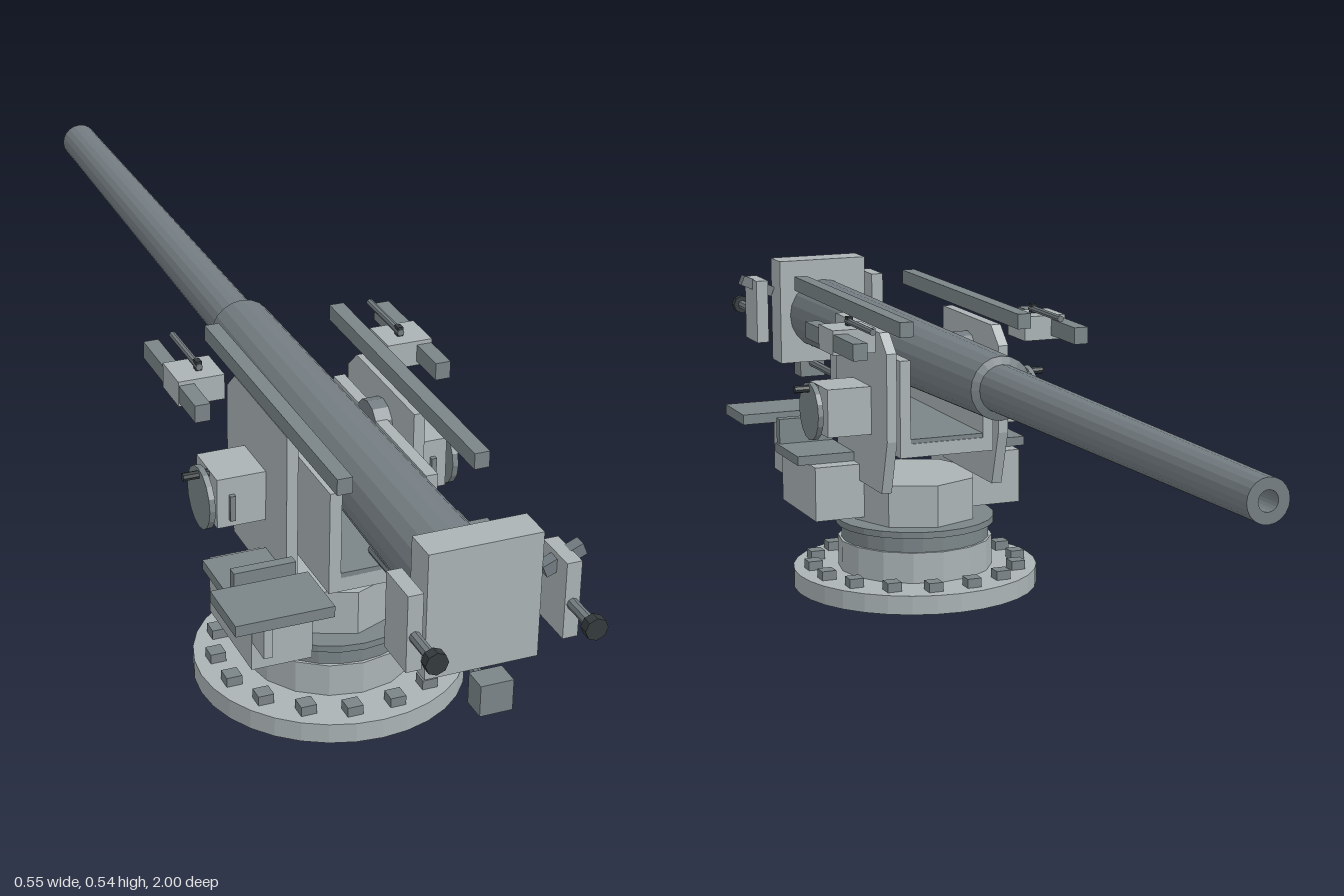
import * as THREE from 'three';

export function createModel() {
  const model = new THREE.Group();
  model.name = 'deckGun';
  const paint = (color) => new THREE.MeshStandardMaterial({ color, flatShading: true });
  const light = paint(0xaab3b5);
  const dark = paint(0x7b8588);
  const steel = paint(0x747d82);
  const black = paint(0x343a3d);

  const add = (name, mat, geo) => {
    const mesh = new THREE.Mesh(geo, mat);
    mesh.name = name;
    model.add(mesh);
    return mesh;
  };
  // box given by its limits on each axis
  const box = (name, mat, x0, x1, y0, y1, z0, z1) =>
    add(name, mat, new THREE.BoxGeometry(x1 - x0, y1 - y0, z1 - z0)
      .translate((x0 + x1) / 2, (y0 + y1) / 2, (z0 + z1) / 2));
  // the same box on the left and the right
  const pair = (name, mat, x0, x1, y0, y1, z0, z1) => {
    box(name + 'Left', mat, x0, x1, y0, y1, z0, z1);
    box(name + 'Right', mat, -x1, -x0, y0, y1, z0, z1);
  };
  // rod along z or x
  const rodZ = (name, mat, r, x, y, z0, z1) =>
    add(name, mat, new THREE.CylinderGeometry(r, r, z1 - z0, 8).rotateX(Math.PI / 2)
      .translate(x, y, (z0 + z1) / 2));
  const rodX = (name, mat, r, x, half, y, z, n = 8) =>
    add(name, mat, new THREE.CylinderGeometry(r, r, 2 * half, n).rotateZ(Math.PI / 2)
      .translate(x, y, z));

  // pedestal, stacked drums
  const pz = 0.333;
  const drum = (name, mat, r, y0, y1, n) =>
    add(name, mat, new THREE.CylinderGeometry(r, r, y1 - y0, n).translate(0, (y0 + y1) / 2, pz));
  drum('basePlate', light, 0.228, 0, 0.035, 32);
  drum('pedestal', light, 0.144, 0.035, 0.092, 16);
  drum('neck', dark, 0.138, 0.092, 0.12, 24);
  drum('turntable', dark, 0.148, 0.12, 0.132, 24);
  drum('upperPedestal', light, 0.118, 0.132, 0.21, 8);
  for (let i = 0; i < 16; i++) {
    const a = (i + 0.5) * Math.PI / 8;
    add('baseBolt', dark, new THREE.BoxGeometry(0.027, 0.018, 0.027)
      .translate(Math.sin(a) * 0.192, 0.043, pz + Math.cos(a) * 0.192));
  }

  // carriage side plates, drawn in z and y
  const plate = new THREE.Shape([
    [0.43, 0.21], [0.43, 0.503], [0.2, 0.503], [0.165, 0.47], [0.165, 0.31], [0.195, 0.21],
  ].map(([z, y]) => new THREE.Vector2(z, y)));
  for (const s of [-1, 1]) {
    const geo = new THREE.ExtrudeGeometry(plate, { depth: 0.019, bevelEnabled: false });
    geo.rotateY(-Math.PI / 2).translate(s * 0.1075 + 0.0095, 0, 0);
    add('carriagePlate', light, geo);
  }

  // U-shaped cradle under the barrel, with a slide plate inside
  const trough = new THREE.Shape([
    [-0.09, 0.278], [0.09, 0.278], [0.09, 0.455], [0.07, 0.455],
    [0.07, 0.303], [-0.07, 0.303], [-0.07, 0.455], [-0.09, 0.455],
  ].map(([x, y]) => new THREE.Vector2(x, y)));
  add('cradle', light, new THREE.ExtrudeGeometry(trough, { depth: 0.37, bevelEnabled: false })
    .translate(0, 0, 0.17));
  box('slidePlate', dark, -0.07, 0.07, 0.302, 0.311, 0.172, 0.54);
  for (const s of [-1, 1]) rodX('trunnion', steel, 0.042, s * 0.092, 0.022, 0.433, 0.31, 12);

  // barrel with stepped jacket and open bore, slightly raised
  const profile = [
    [0, -0.85], [0.07, -0.85], [0.056, 0.075], [0.042, 0.08], [0.034, 0.96],
    [0.034, 1], [0.016, 1], [0.016, 0.85], [0, 0.85],
  ].map(([r, y]) => new THREE.Vector2(r, y));
  const barrel = add('barrel', steel, new THREE.LatheGeometry(profile, 20).rotateX(-Math.PI / 2));
  barrel.position.y = 0.443;
  barrel.rotation.x = 0.014;

  // breech with its lever, and the recoil rod below
  box('breech', light, -0.09, 0.09, 0.335, 0.542, 0.835, 0.892);
  const lever = add('breechLever', steel, new THREE.BoxGeometry(0.068, 0.02, 0.02));
  lever.position.set(0.124, 0.489, 0.885);
  lever.rotation.z = 0.4;
  rodZ('recoilRod', steel, 0.008, 0, 0.318, 0.5, 0.91);
  box('recoilBlock', dark, -0.026, 0.026, 0.29, 0.341, 0.905, 0.945);

  // breech handles
  pair('handleBlock', light, 0.111, 0.135, 0.378, 0.503, 0.85, 0.925);
  for (const s of [-1, 1]) {
    rodZ('handleRod', steel, 0.009, s * 0.123, 0.435, 0.92, 0.985);
    rodZ('handleKnob', black, 0.018, s * 0.123, 0.435, 0.984, 1);
  }

  // long rails beside the barrel
  pair('rail', dark, 0.099, 0.124, 0.514, 0.541, 0.08, 0.645);

  // sights
  pair('sightMount', light, 0.143, 0.222, 0.478, 0.522, 0.15, 0.225);
  pair('sightBar', dark, 0.195, 0.221, 0.485, 0.515, 0.05, 0.3);
  for (const s of [-1, 1]) rodZ('sightTube', steel, 0.006, s * 0.177, 0.529, 0.07, 0.2);
  pair('sightBead', black, 0.172, 0.182, 0.522, 0.538, 0.185, 0.198);

  // gearboxes with handwheels and cranks
  pair('gearbox', light, 0.116, 0.2, 0.31, 0.398, 0.245, 0.34);
  pair('gearboxLatch', dark, 0.171, 0.18, 0.323, 0.368, 0.338, 0.348);
  for (const s of [-1, 1]) {
    rodX('handwheelAxle', steel, 0.012, s * 0.203, 0.01, 0.35, 0.3);
    rodX('handwheel', dark, 0.053, s * 0.212, 0.005, 0.35, 0.3, 16);
    rodX('crankHandle', black, 0.007, s * 0.222, 0.022, 0.392, 0.3);
  }

  // crew platforms and seats
  pair('platformBox', light, 0.1, 0.203, 0.14, 0.241, 0.31, 0.5);
  pair('footTray', dark, 0.116, 0.226, 0.241, 0.258, 0.34, 0.47);
  pair('trayBack', dark, 0.118, 0.222, 0.252, 0.305, 0.455, 0.473);
  pair('seatBracket', light, 0.187, 0.202, 0.19, 0.288, 0.495, 0.55);
  pair('seat', dark, 0.113, 0.275, 0.288, 0.307, 0.51, 0.62);

  return model;
}
